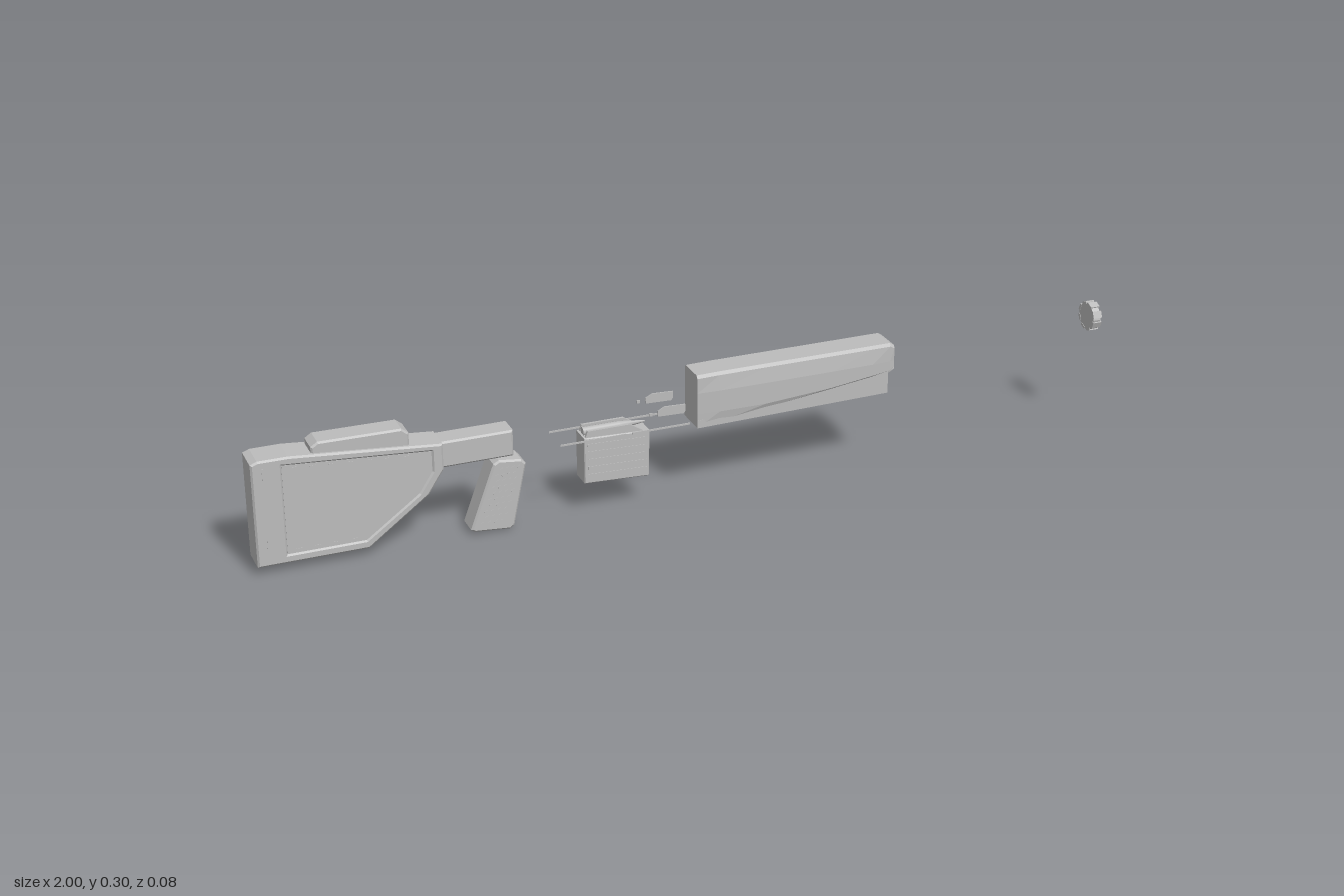
import * as THREE from 'three';

const gray = new THREE.MeshStandardMaterial({ color: 0xbcbcbc });
gray.name = 'plain gray';

function add(parent, name, geometry, x = 0, y = 0, z = 0) {
  const mesh = new THREE.Mesh(geometry, gray);
  mesh.name = name;
  mesh.position.set(x, y, z);
  parent.add(mesh);
  return mesh;
}

function box(parent, name, w, h, d, x, y, z) {
  return add(parent, name, new THREE.BoxGeometry(w, h, d), x, y, z);
}

const outline = pts => new THREE.Shape(pts.map(p => new THREE.Vector2(...p)));

// Side profile given thickness about z = 0, with chamfered edges
function slab(parent, name, pts, half, bevel = 0, hole = null) {
  const shape = outline(pts);
  if (hole) shape.holes.push(new THREE.Path(hole.map(p => new THREE.Vector2(...p))));
  const geometry = new THREE.ExtrudeGeometry(shape, {
    depth: 2 * (half - bevel), bevelEnabled: bevel > 0, bevelSegments: 1,
    bevelSize: bevel, bevelThickness: bevel, bevelOffset: -bevel,
  });
  return add(parent, name, geometry.translate(0, 0, -(half - bevel)));
}

// Closed solid through cross-sections [x, [[z, y], ...]]
function loft(sections) {
  const n = sections[0][1].length, pos = [], index = [];
  for (const [x, ring] of sections) for (const [z, y] of ring) pos.push(x, y, z);
  for (let k = 0; k < sections.length - 1; k++) {
    for (let i = 0; i < n; i++) {
      const a = k * n + i, b = k * n + (i + 1) % n;
      index.push(a, b, a + n, b, b + n, a + n);
    }
  }
  const last = (sections.length - 1) * n;
  for (let i = 1; i < n - 1; i++) {
    index.push(0, i + 1, i, last, last + i, last + i + 1);
  }
  const g = new THREE.BufferGeometry();
  g.setAttribute('position', new THREE.Float32BufferAttribute(pos, 3));
  g.setIndex(index);
  const flat = g.toNonIndexed();
  flat.computeVertexNormals();
  return flat;
}

function makeStock() {
  const stock = new THREE.Group();
  stock.name = 'shoulderStock';
  const edge = [[-1, 0.025], [-0.76, 0.025], [-0.625, 0.125], [-0.59, 0.178],
    [-0.59, 0.238], [-0.92, 0.268], [-0.985, 0.268], [-1, 0.262]];
  const inner = [[-0.935, 0.045], [-0.765, 0.045], [-0.645, 0.132], [-0.615, 0.178],
    [-0.615, 0.225], [-0.935, 0.25]];
  slab(stock, 'stockRim', edge, 0.037, 0.004, inner);
  slab(stock, 'stockPanel', inner, 0.034);
  slab(stock, 'cheekRest', [[-0.87, 0.25], [-0.66, 0.24], [-0.66, 0.272], [-0.675, 0.284],
    [-0.855, 0.286], [-0.87, 0.276]], 0.028, 0.004);
  slab(stock, 'stockNeck', [[-0.6, 0.178], [-0.432, 0.178], [-0.432, 0.238], [-0.6, 0.238]], 0.028, 0.004);
  for (const s of [-1, 1]) {
    // short ribs near the butt and along the panel's top edge
    for (const y of [0.08, 0.235]) box(stock, 'buttRib', 0.004, 0.03, 0.002, -0.975, y, s * 0.037);
    for (let i = 0; i < 7; i++) {
      box(stock, 'panelStud', 0.012, 0.003, 0.002, -0.91 + i * 0.04, 0.241 - i * 0.0031, s * 0.034);
    }
    for (let i = 0; i < 4; i++) {
      box(stock, 'panelStud', 0.012, 0.003, 0.002, -0.91 + i * 0.04, 0.053, s * 0.034);
    }
  }
  return stock;
}

function makeGrip() {
  const grip = new THREE.Group();
  grip.name = 'handGrip';
  slab(grip, 'gripBody', [[-0.533, 0.018], [-0.525, 0.012], [-0.445, 0.005], [-0.435, 0.012],
    [-0.405, 0.155], [-0.415, 0.166], [-0.465, 0.172], [-0.478, 0.165]], 0.028, 0.004);
  // staggered studs following the slant of the grip
  for (const s of [-1, 1]) {
    for (let r = 0; r < 10; r++) {
      for (let c = 0; c < 4; c++) {
        const y = 0.03 + r * 0.0135, t = (y - 0.01) / 0.16;
        const x = -0.514 + 0.055 * t + c * 0.0155 * (1 - 0.2 * t) + (r % 2) * 0.006;
        box(grip, 'gripStud', 0.008, 0.005, 0.002, x, y, s * 0.028).rotation.z = 0.4;
      }
    }
  }
  return grip;
}

function makeMagazine() {
  const mag = new THREE.Group();
  mag.name = 'boxMagazine';
  slab(mag, 'magazineBody', [[-0.272, 0.08], [-0.122, 0.073], [-0.12, 0.182], [-0.272, 0.188]], 0.026, 0.002);
  for (const s of [-1, 1]) {
    slab(mag, 'magazineLip', [[-0.27, 0.18], [-0.13, 0.18], [-0.165, 0.202], [-0.262, 0.202]], 0.003)
      .position.z = s * 0.019;
    for (let r = 0; r < 5; r++) {
      box(mag, 'magazineRib', 0.136, 0.007, 0.002, -0.196, 0.096 + r * 0.018, s * 0.0262).rotation.z = -0.04;
    }
  }
  // pointed insert lying in the open top
  const tip = new THREE.CylinderGeometry(0.002, 0.01, 0.06, 8).rotateZ(-Math.PI / 2);
  const body = new THREE.CylinderGeometry(0.01, 0.01, 0.085, 8).rotateZ(-Math.PI / 2);
  add(mag, 'insertTip', tip, -0.152, 0.194);
  add(mag, 'insertBody', body, -0.2245, 0.194);
  return mag;
}

function makeSideFittings() {
  const group = new THREE.Group();
  group.name = 'sideFittings';
  for (const s of [-1, 1]) {
    const z = s * 0.037;
    box(group, 'rearRail', 0.15, 0.004, 0.002, -0.255, 0.187, z);
    box(group, 'frontRail', 0.135, 0.004, 0.002, -0.0975, 0.187, z);
    slab(group, 'sidePlate', [[-0.105, 0.217], [-0.045, 0.215], [-0.041, 0.22], [-0.041, 0.236],
      [-0.09, 0.238], [-0.105, 0.23]], 0.0015).position.z = z;
    box(group, 'sidePin', 0.007, 0.007, 0.003, -0.122, 0.224, z);
  }
  return group;
}

function makeForeEnd() {
  const fore = new THREE.Group();
  fore.name = 'foreEnd';
  // bulging cover whose underside climbs toward the front
  const section = (x, side, under, top) => {
    const half = [[0.036, under], [side, Math.max(0.205, under + 0.005)], [side, 0.255],
      [0.036, top - 0.007], [0.031, top]];
    return [x, [...half.map(([z, y]) => [-z, y]), ...half.slice().reverse()]];
  };
  add(fore, 'foreEndCover', loft([
    section(-0.012, 0.037, 0.172, 0.296), section(0.04, 0.04, 0.178, 0.297),
    section(0.15, 0.041, 0.192, 0.297), section(0.31, 0.041, 0.211, 0.297),
    section(0.41, 0.04, 0.223, 0.297), section(0.455, 0.037, 0.228, 0.297),
    section(0.465, 0.035, 0.236, 0.291),
  ]));
  for (const s of [-1, 1]) {
    slab(fore, 'foreEndSkirt', [[-0.012, 0.172], [0.45, 0.179], [0.45, 0.235], [-0.012, 0.19]], 0.001)
      .position.z = s * 0.0365;
  }
  return fore;
}

function makeFrontCap() {
  const cap = new THREE.Group();
  cap.name = 'frontCap';
  cap.position.set(0.988, 0.268, 0);
  const disc = new THREE.CylinderGeometry(0.033, 0.033, 0.018, 12).rotateZ(-Math.PI / 2).toNonIndexed();
  disc.computeVertexNormals();
  add(cap, 'capDisc', disc);
  for (let i = 0; i < 8; i++) {
    const a = (i + 0.5) * Math.PI / 4;
    box(cap, 'capLug', 0.022, 0.006, 0.016, 0.001, Math.cos(a) * 0.031, Math.sin(a) * 0.031).rotation.x = a;
  }
  return cap;
}

export function createModel() {
  const model = new THREE.Group();
  model.name = 'separatedParts';
  model.add(makeStock(), makeGrip(), makeMagazine(), makeSideFittings(), makeForeEnd(), makeFrontCap());
  return model;
}
